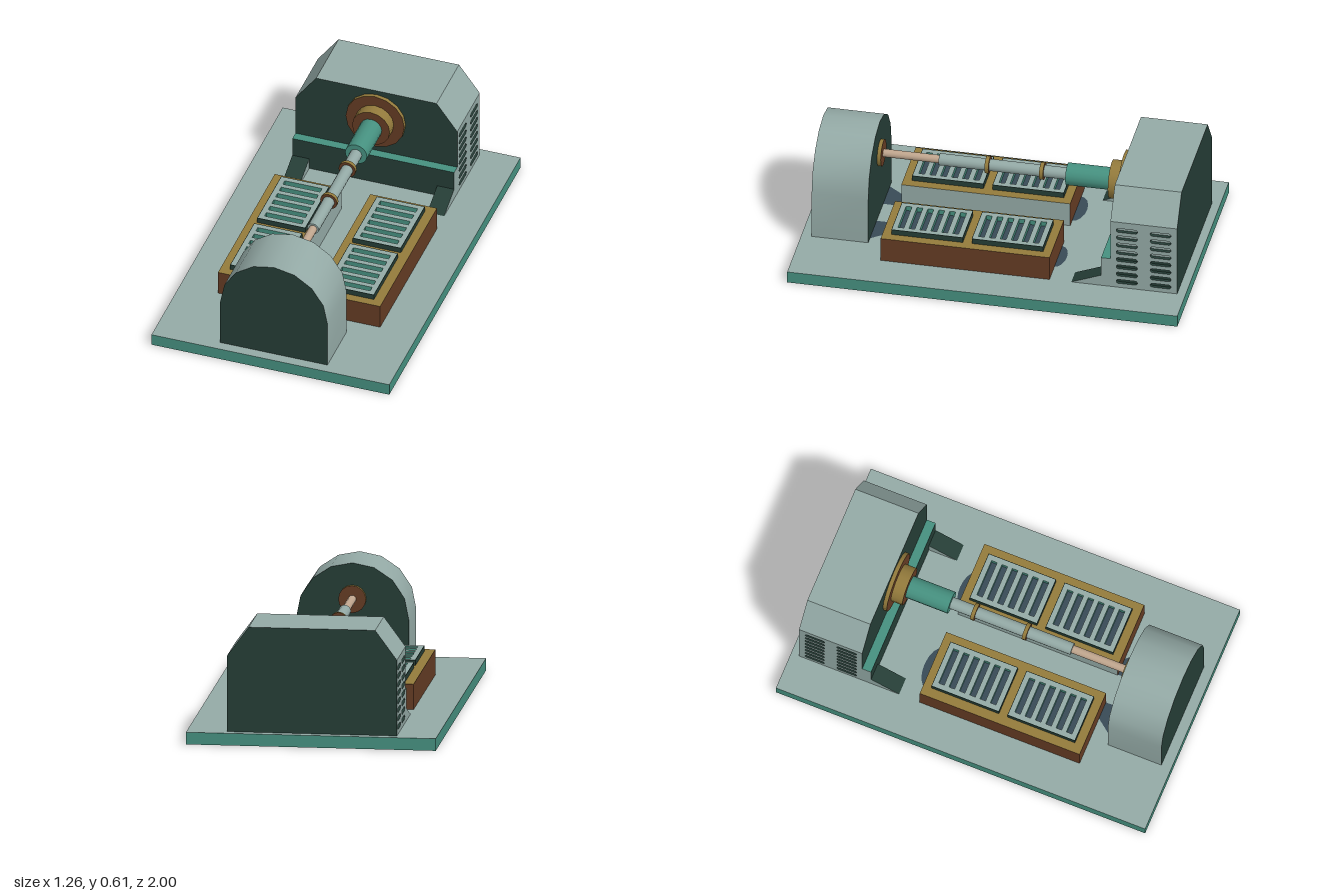
import * as THREE from 'three';
import { toCreasedNormals } from 'three/addons/utils/BufferGeometryUtils.js';

const mat = (name, color) => {
  const m = new THREE.MeshStandardMaterial({ color });
  m.name = name;
  return m;
};

export function createModel() {
  const root = new THREE.Group();
  root.name = 'machine';
  const gray = mat('pale gray', 0x94aaa6);
  const teal = mat('teal', 0x469180);
  const dark = mat('dark green', 0x253d36);
  const gold = mat('ochre', 0x947b3c);
  const brown = mat('brown', 0x653c24);
  const slate = mat('slate', 0x384a56);
  const beige = mat('beige', 0xc0a68e);

  const add = (name, geo, material, parent = root) => {
    const m = new THREE.Mesh(geo, material);
    m.name = name;
    parent.add(m);
    return m;
  };
  // Box given by its limits
  const box = (name, x0, x1, y0, y1, z0, z1, material, parent) => {
    const m = add(name, new THREE.BoxGeometry(x1 - x0, y1 - y0, z1 - z0), material, parent);
    m.position.set((x0 + x1) / 2, (y0 + y1) / 2, (z0 + z1) / 2);
    return m;
  };
  const shapeOf = (pts) => new THREE.Shape(pts.map(([x, y]) => new THREE.Vector2(x, y)));
  const rect = (x0, x1, y0, y1) => [[x0, y0], [x1, y0], [x1, y1], [x0, y1]];
  const extrude = (shape, depth) =>
    new THREE.ExtrudeGeometry(shape, { depth, bevelEnabled: false });
  // Closed cylinder along z
  const disc = (name, r, z0, z1, side, cap) => {
    const geo = new THREE.CylinderGeometry(r, r, z1 - z0, 16).rotateX(Math.PI / 2);
    add(name, geo, [side, cap, cap]).position.set(0, 0.422, (z0 + z1) / 2);
  };

  // Base slab: gray top and bottom, teal edges
  box('base', -0.632, 0.632, 0, 0.062, -1, 1, [teal, teal, gray, gray, teal, teal]);

  // Arched front housing
  const arch = [[-0.285, 0.062], [0.285, 0.062]];
  for (let i = 0; i <= 8; i++) {
    const a = (i * Math.PI) / 8;
    arch.push([0.285 * Math.cos(a), 0.32 + 0.285 * Math.sin(a)]);
  }
  add('archedHousing', toCreasedNormals(extrude(shapeOf(arch), 0.29), 0.7), [dark, gray])
    .position.z = 0.657;

  // Chamfered rear housing, narrowed where the vented panels sit
  const rearZ = -0.957, rearDepth = 0.342;
  const profile = [
    [-0.41, 0.062], [0.41, 0.062], [0.41, 0.45], [0.43, 0.45],
    [0.32, 0.6], [-0.32, 0.6], [-0.43, 0.45], [-0.41, 0.45],
  ];
  add('rearHousing', extrude(shapeOf(profile), rearDepth), [dark, gray]).position.z = rearZ;

  // Rounded slot outline
  const slotPath = (x0, x1, y, h) => {
    const p = new THREE.Path(), r = h / 2;
    p.moveTo(x0 + r, y - r);
    p.lineTo(x1 - r, y - r);
    p.absarc(x1 - r, y, r, -Math.PI / 2, Math.PI / 2, false);
    p.lineTo(x0 + r, y + r);
    p.absarc(x0 + r, y, r, Math.PI / 2, Math.PI * 1.5, false);
    return p;
  };
  const columns = [[0.03, 0.138], [0.204, 0.31]];
  for (const s of [-1, 1]) {
    // Side panel with two columns of vents; its shape runs backwards along z
    const panel = shapeOf(rect(0, rearDepth, 0.062, 0.45));
    for (const [a, b] of columns)
      for (let i = 0; i < 8; i++) panel.holes.push(slotPath(a, b, 0.097 + i * 0.0435, 0.023));
    const side = add('ventPanel', extrude(panel, 0.02).rotateY(Math.PI / 2), [gray, dark]);
    side.position.set(s > 0 ? 0.41 : -0.43, 0, rearZ + rearDepth);
    // Dark interior behind the lower vents
    for (const [a, b] of columns) {
      const z = rearZ + rearDepth;
      box('ventBacking', s * 0.411 - 0.002, s * 0.411 + 0.002, 0.08, 0.25, z - b, z - a, dark);
    }
    // Sloped foot in front of the rear housing
    const foot = shapeOf([[0.415, 0.062], [0.567, 0.062], [0.567, 0.122]]);
    add('foot', extrude(foot, 0.09).rotateY(Math.PI / 2), [gray, dark])
      .position.x = s > 0 ? 0.34 : -0.43;
  }
  box('ledge', -0.43, 0.43, 0.062, 0.227, -0.617, -0.567, [gray, gray, teal, gray, dark, dark]);

  // Shaft assembly
  disc('rod', 0.021, 0.34, 0.65, beige, beige);
  disc('sleeve', 0.031, -0.31, 0.35, gray, gray);
  disc('coupling', 0.058, -0.54, -0.305, teal, teal);
  disc('hub', 0.1, -0.6, -0.532, gold, brown);
  disc('flange', 0.156, -0.618, -0.594, gold, brown);
  disc('frontFlange', 0.07, 0.638, 0.66, gold, brown);
  for (const z of [0.102, -0.178]) disc('collar', 0.045, z - 0.01, z + 0.01, gold, brown);

  // Side trays, each with two slotted grilles
  for (const s of [-1, 1]) {
    const tray = new THREE.Group();
    tray.name = s > 0 ? 'leftTray' : 'rightTray';
    root.add(tray);
    const faces = [brown, brown, gold, brown, brown, brown];
    faces[s > 0 ? 1 : 0] = gray;
    const cx = s * 0.254;
    box('trayBody', cx - 0.177, cx + 0.177, 0.062, 0.192, -0.303, 0.563, faces, tray);
    for (const cz of [-0.077, 0.335]) {
      const grille = shapeOf(rect(-0.125, 0.125, -0.18, 0.18));
      for (let i = 0; i < 6; i++) {
        const y = (i - 2.5) * 0.056;
        grille.holes.push(new THREE.Path(
          rect(-0.099, 0.099, y - 0.015, y + 0.015).map(([a, b]) => new THREE.Vector2(a, b))));
      }
      add('grille', extrude(grille, 0.026).rotateX(-Math.PI / 2), [gray, teal], tray)
        .position.set(cx, 0.194, cz);
      // Dark rim round the grille and slate floor below the slots
      const rim = shapeOf(rect(-0.128, 0.128, -0.183, 0.183));
      rim.holes.push(new THREE.Path(
        rect(-0.125, 0.125, -0.18, 0.18).map(([a, b]) => new THREE.Vector2(a, b))));
      add('grilleRim', extrude(rim, 0.028).rotateX(-Math.PI / 2), dark, tray)
        .position.set(cx, 0.192, cz);
      box('grilleFloor', cx - 0.12, cx + 0.12, 0.19, 0.195, cz - 0.17, cz + 0.17, slate, tray);
    }
    // Slate patches on the base at both ends of the tray
    const patch = add('rearPatch', new THREE.CircleGeometry(1, 16).rotateX(-Math.PI / 2), slate);
    patch.scale.set(s > 0 ? 0.098 : 0.115, 1, s > 0 ? 0.045 : 0.055);
    patch.position.set(s > 0 ? 0.215 : -0.235, 0.0635, -0.302);
    const wedge = shapeOf([[s * 0.08, -0.56], [s * 0.17, -0.56], [s * 0.245, -0.657], [s * 0.08, -0.657]]);
    add('frontPatch', new THREE.ShapeGeometry(wedge).rotateX(-Math.PI / 2), slate)
      .position.y = 0.0635;
  }
  return root;
}
